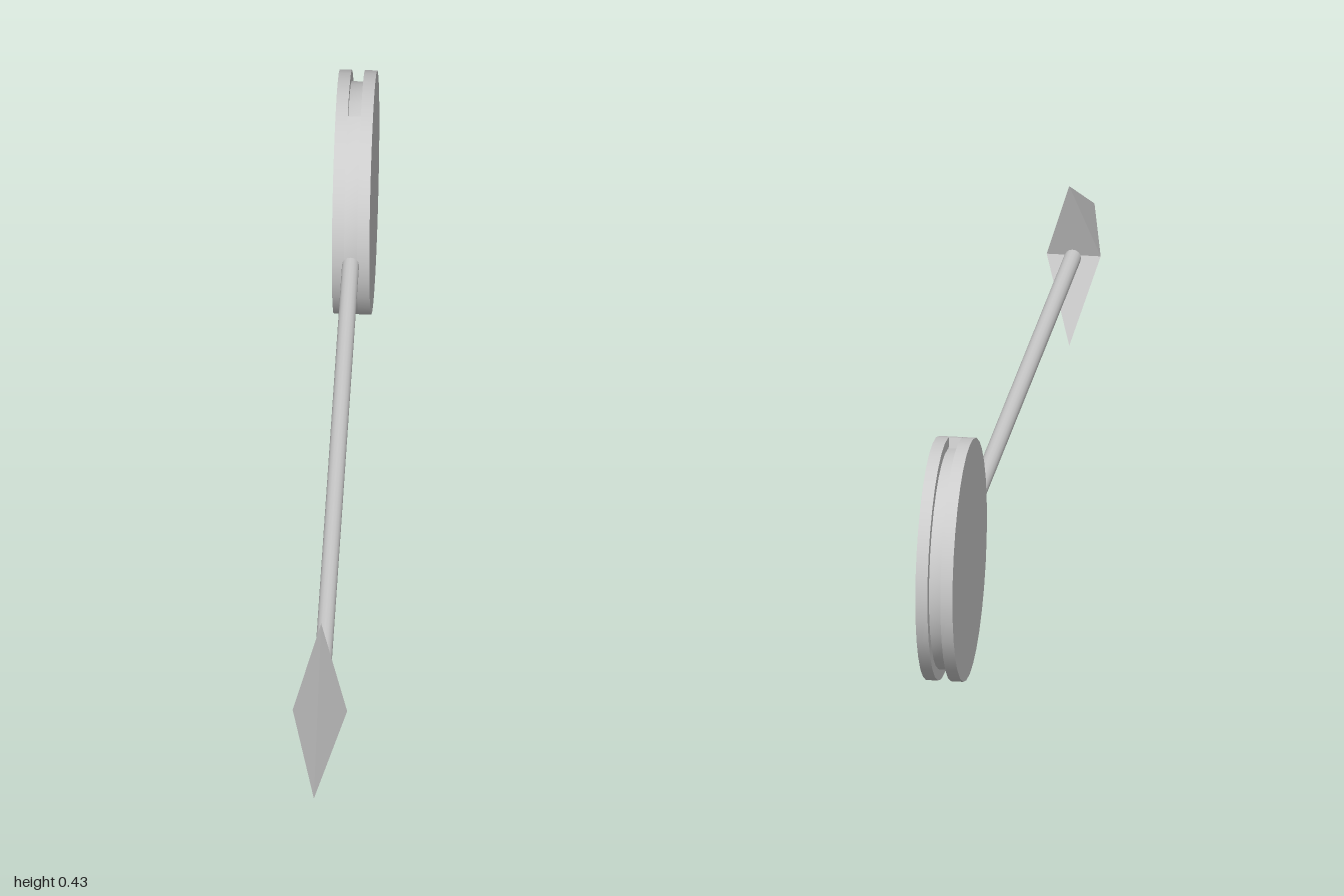
import * as THREE from 'three';
import { toCreasedNormals } from 'three/addons/utils/BufferGeometryUtils.js';

const AXIS_Y = 0.217;    // height of the shaft axis
const DISC_Z = -0.785;
const RADIUS = 0.215;
const GROOVE = 0.0115;   // half width of the rim groove
const HALF = 0.033;      // half thickness of the disc
const SIDES = 32;

export function createModel() {
  const model = new THREE.Group();
  const material = new THREE.MeshStandardMaterial({ color: 0xcccccc });
  const add = (name, geometry, x, y, z) => {
    const mesh = new THREE.Mesh(geometry, material);
    mesh.name = name;
    mesh.position.set(x, y, z);
    model.add(mesh);
  };

  // Disc: two outer plates
  const plate = new THREE.CylinderGeometry(RADIUS, RADIUS, HALF - GROOVE, SIDES);
  plate.rotateZ(Math.PI / 2);
  for (const side of [1, -1]) {
    add(side > 0 ? 'discPlateLeft' : 'discPlateRight', plate,
      side * (HALF + GROOVE) / 2, AXIS_Y, DISC_Z);
  }

  // Disc core: full radius at the front, recessed at the back to form the groove
  const points = [];
  const polar = (degrees, r) => {
    const a = THREE.MathUtils.degToRad(degrees);
    points.push(new THREE.Vector2(r * Math.cos(a), r * Math.sin(a)));
  };
  const step = 360 / SIDES;
  const end = 75;
  const floor = RADIUS - 0.02;
  polar(-end, RADIUS * 0.997);
  for (let k = -6; k <= 6; k++) polar(k * step, RADIUS);
  polar(end, RADIUS * 0.997);
  polar(end, floor);
  for (let k = 7; k <= 25; k++) polar(k * step, floor);
  polar(-end, floor);
  const core = new THREE.ExtrudeGeometry(new THREE.Shape(points), {
    depth: GROOVE * 2, bevelEnabled: false,
  });
  core.translate(0, 0, -GROOVE);
  core.rotateY(-Math.PI / 2);
  add('discCore', toCreasedNormals(core, 0.5), 0, AXIS_Y, DISC_Z);

  // Shaft
  const back = -0.6, front = 0.728;
  const shaft = new THREE.CylinderGeometry(0.015, 0.015, front - back, 16);
  shaft.rotateX(Math.PI / 2);
  add('shaft', shaft, 0, AXIS_Y, (front + back) / 2);

  // Swept arrowhead: tip, left, top, right and bottom corners
  const head = new THREE.BufferGeometry();
  head.setAttribute('position', new THREE.Float32BufferAttribute([
    0, 0, 1, 0.048, 0, 0.741, 0, 0.15, 0.686, -0.048, 0, 0.741, 0, -0.15, 0.686,
  ], 3));
  head.setIndex([0, 1, 2, 0, 2, 3, 0, 3, 4, 0, 4, 1, 2, 1, 3, 4, 3, 1]);
  const facets = head.toNonIndexed();
  facets.computeVertexNormals();
  add('arrowhead', facets, 0, AXIS_Y, 0);

  return model;
}
